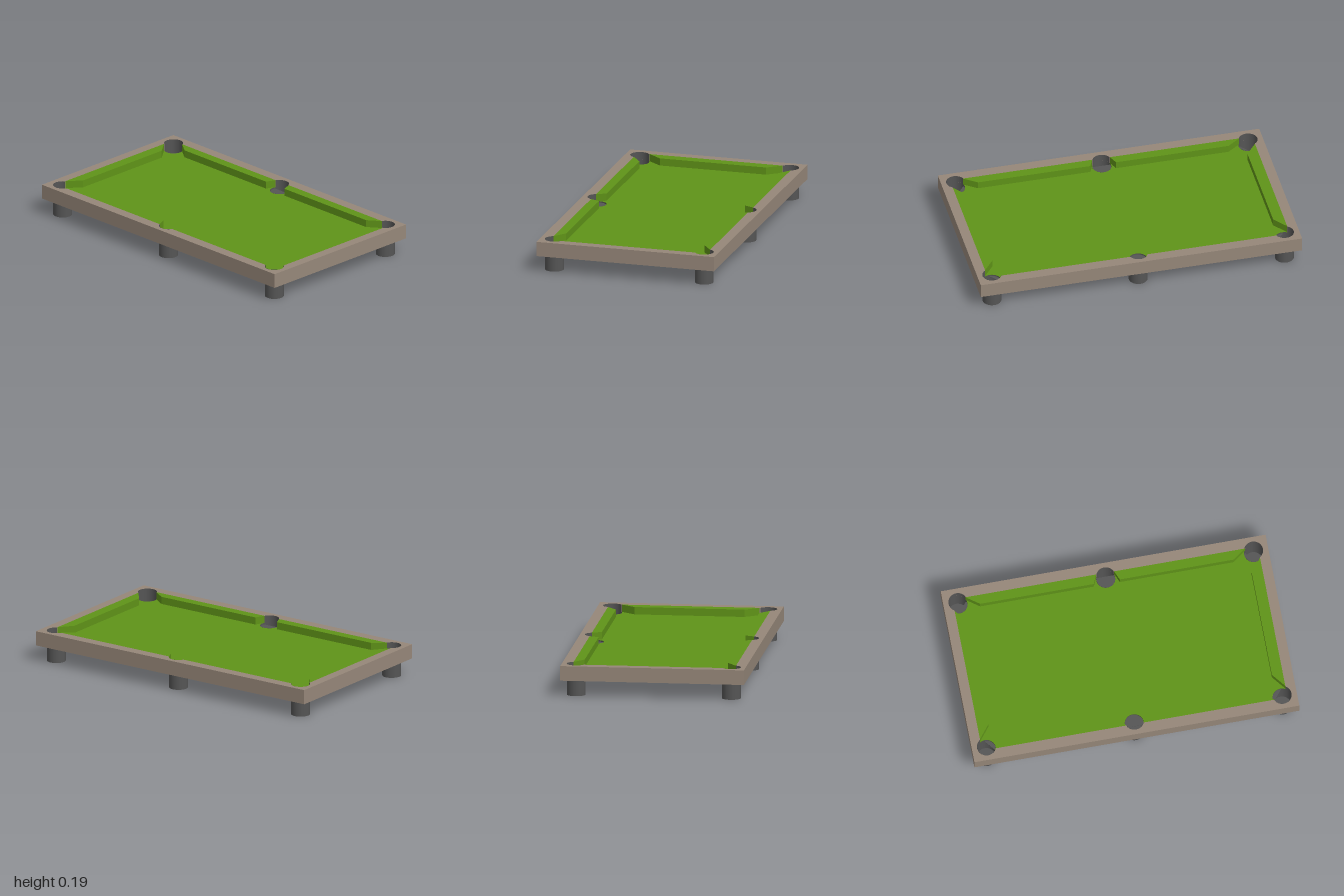
import * as THREE from 'three';

const R = 0.058, EX = 0.94, EZ = 0.495; // pocket radius, inner half length and half width of the rim
const BED = 0.145, TOP = 0.19, RIM = 0.1;

const paint = (color) => new THREE.MeshStandardMaterial({ color, side: THREE.DoubleSide });

// Pockets in counter-clockwise order, with the arc that bites into the wooden rim
function pocketList() {
  const cx = 0.91, cz = 0.473;
  const dx = EX - cx, dz = EZ - cz;
  const a = -Math.acos(dx / R), b = Math.PI - Math.asin(dz / R), m = Math.asin(dz / R);
  const half = [
    { x: cx, y: cz, a0: a, a1: b },
    { x: 0, y: cz, a0: m, a1: Math.PI - m },
    { x: -cx, y: cz, a0: Math.PI - b, a1: Math.PI - a },
  ];
  return [...half, ...half.map((p) => ({ x: -p.x, y: -p.y, a0: p.a0 + Math.PI, a1: p.a1 + Math.PI }))];
}

// Inner rectangle whose pocket arcs bulge outwards (rim hole) or inwards (bed)
function outline(path, pockets, inward) {
  for (const p of pockets) path.absarc(p.x, p.y, R, p.a0, p.a1, inward);
  path.closePath();
  return path;
}

// Lay a plan shape flat and give it thickness from y0 to y1
function slab(name, shape, y0, y1, material) {
  const geo = new THREE.ExtrudeGeometry(shape, { depth: y1 - y0, bevelEnabled: false, curveSegments: 20 });
  geo.rotateX(-Math.PI / 2).translate(0, y0, 0);
  const mesh = new THREE.Mesh(geo, material);
  mesh.name = name;
  return mesh;
}

const polygon = (pts) => new THREE.Shape(pts.map(([x, y]) => new THREE.Vector2(x, y)));

export function createModel() {
  const group = new THREE.Group();
  group.name = 'poolTable';
  const wood = paint(0x968779), cloth = paint(0x5f9318), dark = paint(0x555555);
  const pockets = pocketList();

  // Wooden rim
  const rim = polygon([[-1, -0.56], [1, -0.56], [1, 0.56], [-1, 0.56]]);
  rim.holes.push(outline(new THREE.Path(), pockets, false));
  group.add(slab('rim', rim, RIM, TOP, wood));

  // Cloth bed on a wooden base
  const bed = outline(new THREE.Shape(), pockets, true);
  group.add(slab('bed', bed, 0.141, BED, cloth));
  group.add(slab('bedBase', bed, 0.137, 0.141, wood));

  // Underside panel following the cushion line, with a cloth-coloured centre
  const corner = [[0.87, 0.33], [0.92, 0.41], [0.86, 0.485], [0.78, 0.44], [0.08, 0.44], [0.055, 0.49]];
  const flip = (pts, sx, sy) => pts.map(([x, y]) => [x * sx, y * sy]);
  const panel = polygon([
    ...corner, ...flip(corner, -1, 1).reverse(),
    ...flip(corner, -1, -1), ...flip(corner, 1, -1).reverse(),
  ]);
  group.add(slab('undersidePanel', panel, 0.135, 0.137, dark));
  const centre = polygon([[-0.675, -0.245], [0.675, -0.245], [0.675, 0.245], [-0.675, 0.245]]);
  group.add(slab('undersideCentre', centre, 0.133, 0.135, cloth));

  // Six cushions: two on each long side, one on each end
  const sideCushion = [[0.055, EZ], [0.08, 0.437], [0.78, 0.437], [0.86, EZ]];
  const endCushion = [[EX, 0.42], [0.873, 0.335], [0.873, -0.335], [EX, -0.42]];
  for (const sx of [-1, 1]) {
    for (const sy of [-1, 1]) {
      group.add(slab('sideCushion', polygon(flip(sideCushion, sx, sy)), BED, TOP, cloth));
    }
    group.add(slab('endCushion', polygon(flip(endCushion, sx, 1)), BED, TOP, cloth));
  }

  // Pocket cups that double as the feet
  const r = R - 0.0005;
  const cupProfile = [[0, 0], [r, 0], [r, 0], [r, BED]].map(([x, y]) => new THREE.Vector2(x, y));
  for (const p of pockets) {
    const pocket = new THREE.Group();
    pocket.name = 'pocket';
    const wall = new THREE.Mesh(new THREE.CylinderGeometry(r, r, BED, 32, 1, true).translate(0, BED / 2, 0), dark);
    wall.name = 'pocketCup';
    const floor = new THREE.Mesh(new THREE.CylinderGeometry(r, r, 0.004, 32).translate(0, 0.002, 0), dark);
    floor.name = 'pocketFloor';
    // Lining of the rim behind the pocket; plan angle a matches cylinder angle a + 90 degrees
    const lining = new THREE.Mesh(
      new THREE.CylinderGeometry(r, r, TOP - BED, 24, 1, true, p.a0 + Math.PI / 2, p.a1 - p.a0)
        .translate(0, (TOP + BED) / 2, 0), dark);
    lining.name = 'pocketLining';
    pocket.add(wall, floor, lining);
    pocket.position.set(p.x, 0, -p.y);
    group.add(pocket);
  }
  return group;
}
